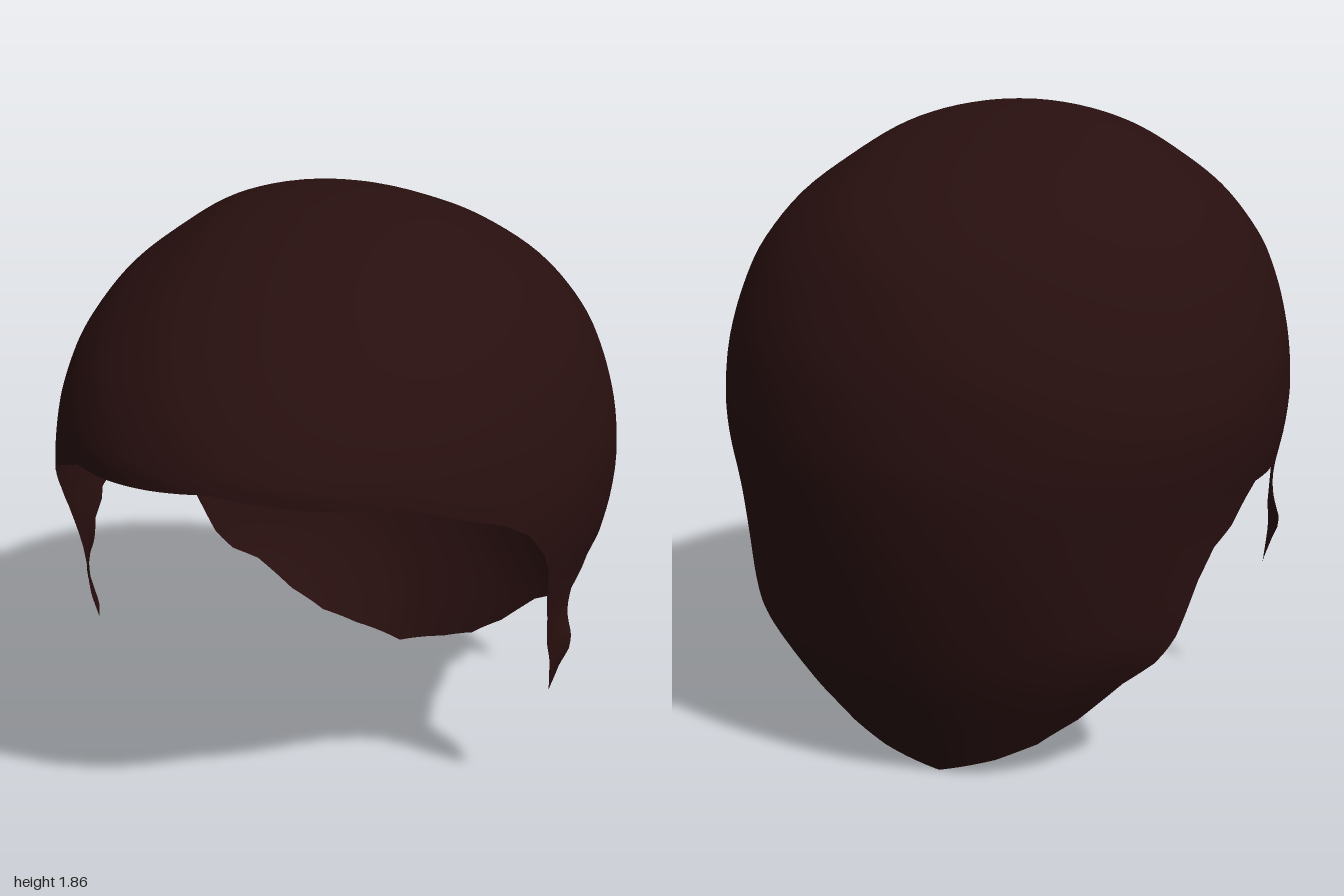
import * as THREE from 'three';
import { mergeVertices } from 'three/addons/utils/BufferGeometryUtils.js';

const TOP = 1.86;

// Smooth interpolation of [height, value] pairs, eased so the crown stays round
function profile(pairs) {
  const s = pairs.map(([y]) => Math.sqrt(TOP - y));
  const v = pairs.map((p) => p[1]);
  const n = s.length;
  const slope = s.map((_, i) => {
    const a = Math.max(i - 1, 0), b = Math.min(i + 1, n - 1);
    return (v[b] - v[a]) / (s[b] - s[a]);
  });
  return (y) => {
    const q = Math.sqrt(Math.max(TOP - y, 0));
    let i = 0;
    while (i < n - 2 && q > s[i + 1]) i++;
    const h = s[i + 1] - s[i], t = Math.min((q - s[i]) / h, 1), u = 1 - t;
    return v[i] * (1 + 2 * t) * u * u + slope[i] * h * t * u * u
      + v[i + 1] * t * t * (3 - 2 * t) - slope[i + 1] * h * t * t * u;
  };
}

// Outline of the cap at each height
const halfWidth = profile([[1.86, 0], [1.8, 0.32], [1.7, 0.49], [1.6, 0.62], [1.5, 0.705], [1.4, 0.765],
  [1.2, 0.827], [1.03, 0.846], [0.9, 0.836], [0.75, 0.805], [0.6, 0.79], [0.4, 0.775], [0.33, 0.745],
  [0.2, 0.65], [0.1, 0.56], [0, 0.5]]);
const frontZ = profile([[1.86, 0], [1.8, 0.33], [1.7, 0.57], [1.6, 0.73], [1.5, 0.85], [1.4, 0.935],
  [1.3, 0.99], [1.25, 1], [0.8, 1], [0, 1]]);
const backZ = profile([[1.86, 0], [1.8, -0.27], [1.7, -0.54], [1.6, -0.71], [1.5, -0.815], [1.4, -0.88],
  [1.2, -0.965], [1, -0.998], [0.9, -1], [0.7, -0.975], [0.5, -0.93], [0.33, -0.88], [0.2, -0.825], [0, -0.73]]);
const centreZ = profile([[1.86, 0], [1.7, -0.03], [1.5, -0.07], [1.2, -0.1], [0.8, -0.1], [0, -0.1]]);

// Hairline seen from the side as [z, y]: fringe, sideburn, ear, nape
const hairline = [[1, 1.265], [0.97, 1.242], [0.9, 1.225], [0.8, 1.213], [0.7, 1.16], [0.6, 1.112], [0.55, 1.09],
  [0.46, 1.03], [0.38, 0.94], [0.33, 0.86], [0.3, 0.77], [0.27, 0.69], [0.25, 0.6], [0.22, 0.49], [0.19, 0.41],
  [0.167, 0.44], [0.158, 0.57], [0.135, 0.65], [0.11, 0.72], [0.03, 0.755], [0, 0.79], [-0.08, 0.805],
  [-0.26, 0.81], [-0.31, 0.77], [-0.37, 0.705], [-0.45, 0.66], [-0.5, 0.575], [-0.55, 0.42], [-0.585, 0.345],
  [-0.635, 0.295], [-0.66, 0.18], [-0.685, 0.1], [-0.72, 0.05], [-0.73, 0]];

function angleAt([z, y]) {
  const c = centreZ(y);
  const depth = z > c ? frontZ(y) - c : c - backZ(y);
  return Math.acos(THREE.MathUtils.clamp((z - c) / depth, -1, 1));
}

// A point on the cap at an angle from the front and a height
function surfacePoint(angle, y) {
  const c = centreZ(y), cos = Math.cos(angle);
  const z = c + cos * (cos > 0 ? frontZ(y) - c : c - backZ(y));
  let x = halfWidth(y) * Math.sin(angle);
  // rear edge of the sideburn flicks outwards
  if (z > 0.05 && y < 0.75) {
    x += Math.sign(x) * 0.04 * Math.exp(-(((y - 0.56) / 0.07) ** 2)) * THREE.MathUtils.clamp((0.25 - z) / 0.1, 0, 1);
  }
  return [x, y, z];
}

function hairCapGeometry(rows = 40, steps = 5) {
  // Columns follow the hairline from fringe to nape, then mirror to the other side
  const half = [];
  hairline.slice(0, -1).forEach((p, i) => {
    const a0 = angleAt(p), a1 = angleAt(hairline[i + 1]);
    for (let k = 0; k < steps; k++) {
      const t = k / steps;
      half.push([THREE.MathUtils.lerp(a0, a1, t), THREE.MathUtils.lerp(p[1], hairline[i + 1][1], t)]);
    }
  });
  const mirrored = half.slice(1).reverse().map(([a, y]) => [-a, y]);
  const columns = [...half, [Math.PI, 0], ...mirrored];

  const positions = [], index = [], stride = rows + 1;
  columns.forEach(([angle, cut], i) => {
    for (let j = 0; j <= rows; j++) {
      positions.push(...surfacePoint(angle, TOP - (TOP - cut) * (j / rows) ** 1.7));
    }
    const a = i * stride, d = ((i + 1) % columns.length) * stride;
    for (let j = 0; j < rows; j++) {
      index.push(a + j, a + j + 1, d + j + 1);
      if (j > 0) index.push(a + j, d + j + 1, d + j);
    }
  });
  const geometry = new THREE.BufferGeometry();
  geometry.setAttribute('position', new THREE.Float32BufferAttribute(positions, 3));
  geometry.setIndex(index);
  const merged = mergeVertices(geometry, 1e-5);
  merged.computeVertexNormals();
  return merged;
}

export function createModel() {
  const group = new THREE.Group();
  group.name = 'hair';
  const darkBrown = new THREE.MeshStandardMaterial({ color: 0x280f0f, side: THREE.DoubleSide });
  darkBrown.name = 'dark brown hair';
  const cap = new THREE.Mesh(hairCapGeometry(), darkBrown);
  cap.name = 'hairCap';
  group.add(cap);
  return group;
}
